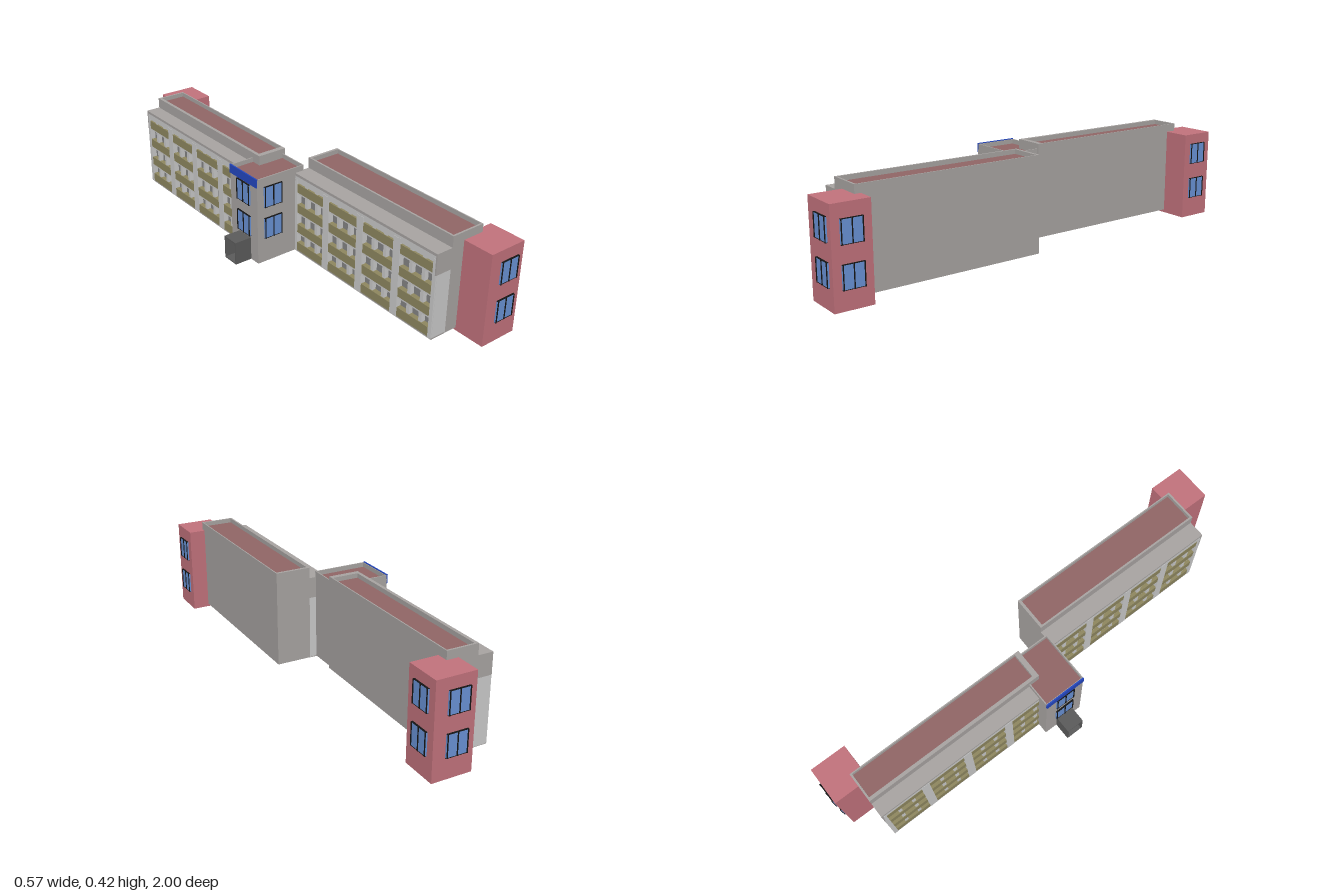
import * as THREE from 'three';

const mat = (color) => new THREE.MeshStandardMaterial({ color });
const GREY = mat(0xa9a5a3), LIGHT = mat(0xcccccc), RED = mat(0xc3737d), ROOF = mat(0x916666);
const BLUE = mat(0x6a93d7), BLACK = mat(0x151515), OLIVE = mat(0x8f8860), DARK = mat(0x5c5c5c);
const PANEL = mat(0x2447c0), GLASS = mat(0x858585);

// Box given by its minimum and maximum on each axis
function box(parent, name, material, [x0, x1], [y0, y1], [z0, z1]) {
  const mesh = new THREE.Mesh(new THREE.BoxGeometry(x1 - x0, y1 - y0, z1 - z0), material);
  mesh.position.set((x0 + x1) / 2, (y0 + y1) / 2, (z0 + z1) / 2);
  mesh.name = name;
  parent.add(mesh);
  return mesh;
}

// Two-pane bay window standing proud of a wall; built facing +z, then turned
function bayWindow(parent, x, y, z, turn) {
  const g = new THREE.Group();
  g.name = 'window';
  const w = 0.088, h = 0.09;
  box(g, 'glass', BLUE, [-w / 2, w / 2], [-h / 2, h / 2], [-0.003, 0.006]);
  for (const mx of [-w / 2 + 0.003, 0, w / 2 - 0.003])
    box(g, 'mullion', BLACK, [mx - 0.0018, mx + 0.0018], [-h / 2 - 0.001, h / 2 + 0.001], [-0.003, 0.009]);
  for (const my of [-h / 2, h / 2])
    box(g, 'windowRail', BLACK, [-w / 2, w / 2], [my - 0.001, my + 0.001], [-0.003, 0.007]);
  g.position.set(x, y, z);
  g.rotation.y = turn;
  parent.add(g);
}

// Flat-roofed block with a raised parapet; t = parapet thickness [-x, +x, -z, +z]
function parapetBlock(parent, name, [x0, x1], [y0, y1], [z0, z1], t, depth) {
  const g = new THREE.Group();
  g.name = name;
  const yr = y1 - depth;
  box(g, 'walls', GREY, [x0, x1], [y0, yr], [z0, z1]);
  box(g, 'roof', ROOF, [x0 + t[0], x1 - t[1]], [yr - 0.002, yr + 0.001], [z0 + t[2], z1 - t[3]]);
  box(g, 'parapet', GREY, [x0, x0 + t[0]], [yr, y1], [z0, z1]);
  box(g, 'parapet', GREY, [x1 - t[1], x1], [yr, y1], [z0, z1]);
  box(g, 'parapet', GREY, [x0 + t[0], x1 - t[1]], [yr, y1], [z0, z0 + t[2]]);
  box(g, 'parapet', GREY, [x0 + t[0], x1 - t[1]], [yr, y1], [z1 - t[3], z1]);
  parent.add(g);
}

// Four-storey window facade on the -x side of a wing
function facade(parent, x0, x1, z0, z1) {
  const g = new THREE.Group();
  g.name = 'facade';
  const face = x0 + 0.005, floors = [0.014, 0.1, 0.193, 0.285], bays = 4;
  const step = (z1 - z0) / bays;
  box(g, 'recessedWall', GLASS, [face + 0.018, x1], [0.014, 0.36], [z0 + 0.004, z1 - 0.004]);
  box(g, 'roofSlab', GREY, [x0, x1], [0.362, 0.373], [z0, z1]);
  box(g, 'fascia', LIGHT, [x0 + 0.001, face + 0.02], [0.335, 0.362], [z0 + 0.003, z1 - 0.003]);
  box(g, 'baseSlab', GREY, [x0 + 0.002, x1], [0.012, 0.018], [z0, z1]);
  for (const [a, b] of [[z0, z0 + 0.006], [z1 - 0.006, z1]]) {
    box(g, 'endWall', LIGHT, [face, x1], [0.014, 0.285], [a, b]);
    box(g, 'endWallTop', GREY, [x0, x1], [0.285, 0.363], [a, b]);
  }
  for (const y of floors) {
    box(g, 'spandrel', OLIVE, [face - 0.003, face + 0.02], [y + 0.004, y + 0.042], [z0 + 0.006, z1 - 0.006]);
    box(g, 'floorSlab', LIGHT, [face - 0.001, face + 0.02], [y - 0.004, y + 0.004], [z0 + 0.006, z1 - 0.006]);
  }
  for (let i = 0; i <= bays; i++) {
    // Broad piers between bays, narrow ones within them
    const z = z0 + step * i;
    const a = Math.max(z - 0.018, z0 + 0.001), b = Math.min(z + 0.018, z1 - 0.001);
    box(g, 'pier', LIGHT, [face - 0.005, face + 0.019], [0.016, 0.35], [a, b]);
    if (i < bays) for (const f of [0.36, 0.68])
      box(g, 'post', LIGHT, [face, face + 0.019], [0.016, 0.35], [z + step * f - 0.008, z + step * f + 0.008]);
  }
  parent.add(g);
}

function wing(parent, name, xFacade, x0, x1, z0, z1, t) {
  const g = new THREE.Group();
  g.name = name;
  parapetBlock(g, 'mainBlock', [x0, x1], [0.013, 0.419], [z0, z1], t, 0.02);
  facade(g, xFacade, x0, z0, z1);
  parent.add(g);
}

// Red end tower with windows on the +x side and on its outer end
function tower(parent, name, x0, x1, z0, z1, end) {
  const g = new THREE.Group();
  g.name = name;
  box(g, 'towerWalls', RED, [x0, x1], [0, 0.385], [z0, z1]);
  const cx = (x0 + x1) / 2, cz = (z0 + z1) / 2, front = end > 0;
  for (const y of [0.131, 0.292]) {
    bayWindow(g, cx + (front ? 0.013 : -0.013), y, front ? z1 : z0, front ? 0 : Math.PI);
    bayWindow(g, x1, y - (front ? 0.008 : -0.004), cz, Math.PI / 2);
  }
  parent.add(g);
}

export function createModel() {
  const model = new THREE.Group();
  model.name = 'building';

  // Two long staggered wings
  wing(model, 'frontWing', -0.018, 0.055, 0.205, 0.05, 0.855, [0.008, 0.005, 0.012, 0.008]);
  wing(model, 'backWing', -0.162, -0.098, 0.034, -0.885, -0.08, [0.014, 0.005, 0.008, 0.022]);

  // End towers
  tower(model, 'frontTower', 0.112, 0.277, 0.83, 0.985, 1);
  tower(model, 'backTower', -0.015, 0.15, -0.992, -0.838, -1);

  // Stair core joining the wings
  const core = new THREE.Group();
  core.name = 'stairCore';
  parapetBlock(core, 'coreBlock', [-0.208, 0.025], [0.015, 0.397], [-0.129, 0.056], [0.005, 0.005, 0.005, 0.005], 0.02);
  box(core, 'bluePanel', PANEL, [-0.212, -0.206], [0.362, 0.4], [-0.129, 0.056]);
  for (const y of [0.171, 0.312]) {
    bayWindow(core, -0.132, y, 0.056, 0);
    bayWindow(core, -0.208, y, -0.035, -Math.PI / 2);
  }
  model.add(core);

  // Entrance porch, open toward -x
  const porch = new THREE.Group();
  porch.name = 'entrancePorch';
  const px = [-0.285, -0.208];
  box(porch, 'porchRoof', DARK, px, [0.11, 0.116], [-0.072, 0.006]);
  box(porch, 'porchFloor', DARK, px, [0.015, 0.02], [-0.072, 0.006]);
  box(porch, 'porchWall', DARK, px, [0.02, 0.11], [-0.072, -0.067]);
  box(porch, 'porchWall', DARK, px, [0.02, 0.11], [0.001, 0.006]);
  box(porch, 'porchDoor', DARK, [-0.215, -0.207], [0.02, 0.11], [-0.067, 0.001]);
  model.add(porch);

  return model;
}
